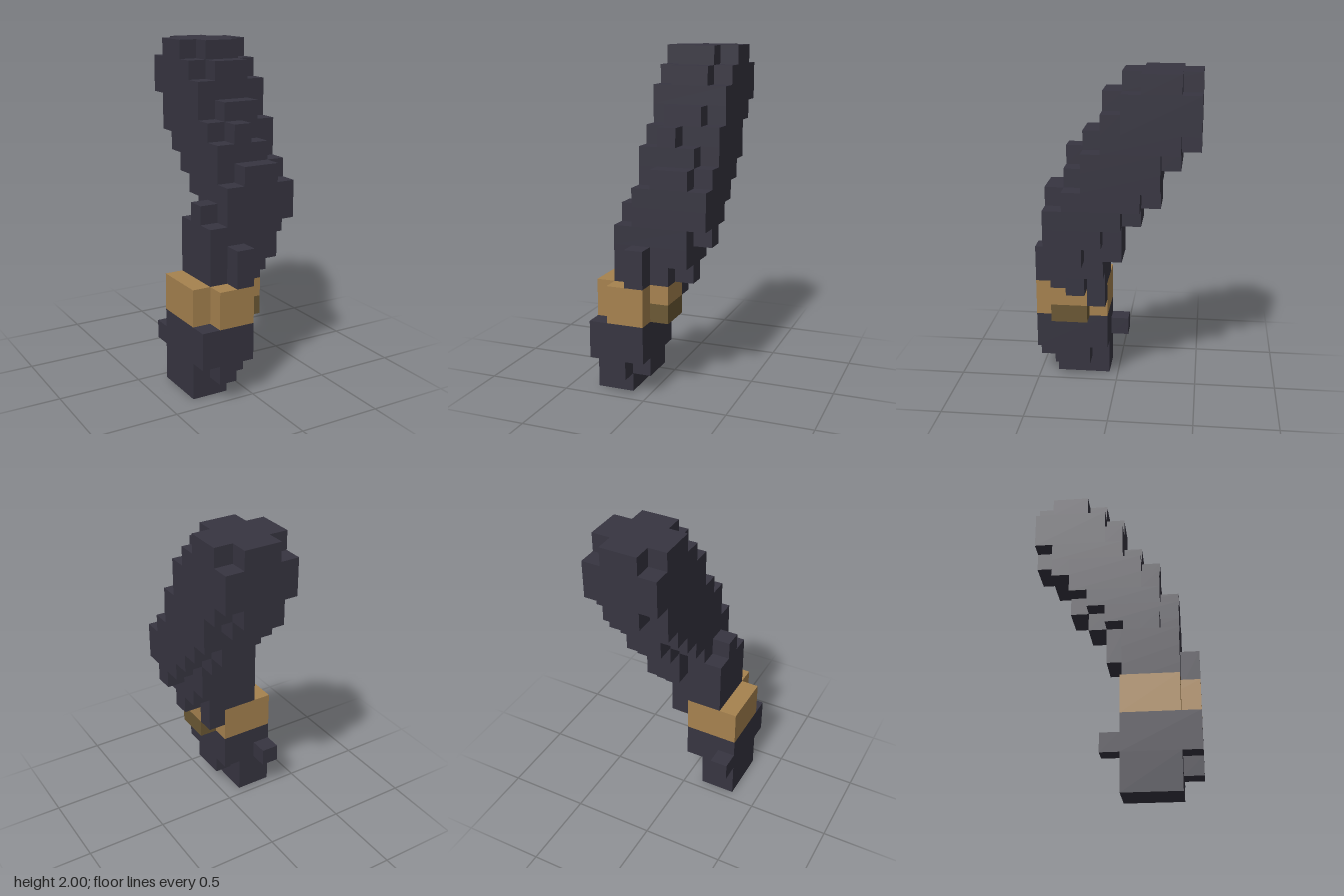
import * as THREE from 'three';
import { mergeGeometries } from 'three/addons/utils/BufferGeometryUtils.js';

const V = 2 / 18; // one block

// Each row is a block span: [x first, x last, y first, y last, z first, z last]
const upperSleeve = [
  [3, 4, 17, 17, 0, 3], [2, 5, 17, 17, 1, 2],
  [2, 5, 15, 16, 0, 3], [3, 4, 16, 16, 4, 4], [2, 5, 15, 15, 4, 4],
  [3, 4, 14, 14, 0, 5], [2, 5, 14, 14, 1, 4],
  [2, 4, 13, 13, 1, 1], [2, 5, 13, 13, 2, 5], [3, 3, 13, 13, 6, 6],
  [2, 5, 12, 12, 2, 5], [2, 4, 12, 12, 6, 6],
  [3, 4, 11, 11, 2, 7], [2, 5, 11, 11, 3, 6],
];
const lowerSleeve = [
  [3, 4, 10, 10, 3, 3], [2, 5, 10, 10, 4, 7],
  [3, 4, 8, 9, 4, 4], [2, 5, 9, 9, 5, 7], [1, 1, 9, 9, 6, 6],
  [1, 4, 8, 8, 5, 7], [5, 5, 8, 8, 6, 6],
  [1, 4, 7, 7, 5, 7], [1, 3, 6, 6, 5, 7], [4, 4, 6, 6, 6, 6],
  [2, 2, 6, 7, 8, 8], [3, 3, 5, 5, 5, 5],
];
const cuff = [
  [0, 0, 4, 5, 5, 7], [1, 2, 4, 5, 5, 8], [3, 3, 5, 5, 6, 7],
];
const cuffShade = [[3, 3, 4, 4, 6, 7]];
const hand = [
  [0, 2, 2, 3, 5, 8], [0, 0, 2, 2, 4, 4],
  [0, 1, 0, 1, 5, 7], [1, 1, 1, 1, 8, 8], [2, 2, 1, 1, 6, 7],
];

// Turns block spans into one mesh
function blocks(name, spans, material) {
  const parts = spans.map(([x0, x1, y0, y1, z0, z1]) => {
    const g = new THREE.BoxGeometry((x1 - x0 + 1) * V, (y1 - y0 + 1) * V, (z1 - z0 + 1) * V);
    g.translate(((x0 + x1 + 1) / 2 - 3) * V, ((y0 + y1 + 1) / 2) * V, ((z0 + z1 + 1) / 2 - 4.5) * V);
    return g;
  });
  const mesh = new THREE.Mesh(mergeGeometries(parts), material);
  mesh.name = name;
  return mesh;
}

function paint(name, color) {
  const m = new THREE.MeshStandardMaterial({ color });
  m.name = name;
  return m;
}

export function createModel() {
  const dark = paint('dark cloth', 0x373541);
  const gold = paint('gold', 0xa6824f);
  const bronze = paint('dark bronze', 0x6b5834);

  const group = new THREE.Group();
  group.name = 'blockArm';
  group.add(
    blocks('upperSleeve', upperSleeve, dark),
    blocks('lowerSleeve', lowerSleeve, dark),
    blocks('cuff', cuff, gold),
    blocks('cuffUnderside', cuffShade, bronze),
    blocks('hand', hand, dark),
  );
  return group;
}
